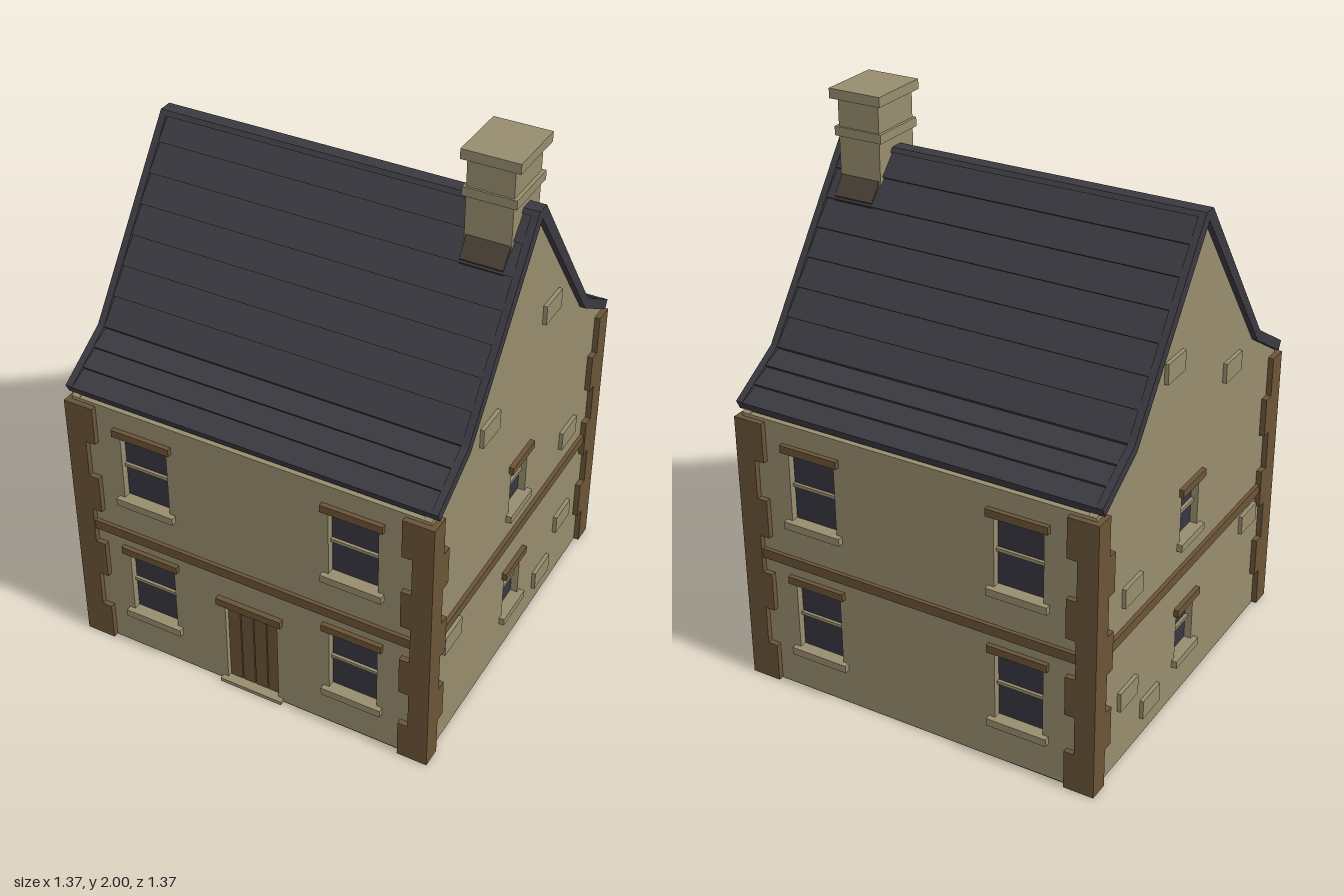
import * as THREE from 'three';

const paint = (name, color) => {
  const m = new THREE.MeshStandardMaterial({ color });
  m.name = name;
  return m;
};

export function createModel() {
  const stone = paint('sandstone', 0x978c6d);
  const timber = paint('brown stone and timber', 0x6a5437);
  const slate = paint('dark slate', 0x393940);
  const glass = paint('window glass', 0x383641);
  const lead = paint('dark flashing', 0x4a3f36);

  const house = new THREE.Group();
  house.name = 'house';

  const add = (parent, name, geo, mat) => {
    const m = new THREE.Mesh(geo, mat);
    m.name = name;
    parent.add(m);
    return m;
  };
  // box given by its limits on each axis
  const box = (parent, name, mat, x0, x1, y0, y1, z0, z1) => {
    const m = add(parent, name, new THREE.BoxGeometry(x1 - x0, y1 - y0, z1 - z0), mat);
    m.position.set((x0 + x1) / 2, (y0 + y1) / 2, (z0 + z1) / 2);
    return m;
  };
  const polygon = (pts) => new THREE.Shape(pts.map(([x, y]) => new THREE.Vector2(x, y)));
  const extrude = (shape, depth) => new THREE.ExtrudeGeometry(shape, { depth, bevelEnabled: false });
  // symmetric (z, y) profile extruded along x between two limits
  const alongX = (name, mat, pts, x0, x1) => {
    const geo = extrude(polygon(pts), x1 - x0);
    geo.rotateY(Math.PI / 2);
    geo.translate(x0, 0, 0);
    return add(house, name, geo, mat);
  };
  const mirrored = (half) => [...half, ...half.slice().reverse().filter(([z]) => z > 0).map(([z, y]) => [-z, y])];

  const IN = 0.635, OUT = 0.665, EDGE = 0.685;

  // solid core and dark underside
  const gable = mirrored([[OUT, 0], [OUT, 1.04], [0.455, 1.175], [0, 1.775]]);
  const core = mirrored([[IN, 0.003], [IN, 1.05], [0.45, 1.165], [0, 1.765]]);
  alongX('wallCore', stone, core, -IN, IN);
  box(house, 'baseSlab', lead, -OUT, OUT, -0.001, 0.003, -OUT, OUT);

  // one wall face, in local coordinates: x across, y up, z outward
  function wall(name, angle, outline, windows, door) {
    const face = new THREE.Group();
    face.name = name;
    face.rotation.y = angle;
    house.add(face);
    const shape = polygon(outline);
    const hole = (x0, x1, y0, y1) => {
      shape.holes.push(new THREE.Path([[x0, y0], [x0, y1], [x1, y1], [x1, y0]].map((p) => new THREE.Vector2(...p))));
    };
    for (const { x, y0, y1, w, over } of windows) {
      hole(x - w, x + w, y0, y1);
      box(face, 'windowPane', glass, x - w, x + w, y0, y1, IN, IN + 0.004);
      const mid = (y0 + y1) / 2;
      box(face, 'windowBar', stone, x - w, x + w, mid - 0.006, mid + 0.006, IN, IN + 0.015);
      box(face, 'windowLintel', timber, x - w - over, x + w + over, y1, y1 + 0.028, IN, 0.682);
      box(face, 'windowSill', stone, x - w - over, x + w + over, y0 - 0.028, y0, IN, EDGE);
    }
    if (door) {
      hole(-0.102, 0.102, 0.012, 0.362);
      box(face, 'doorGap', lead, -0.102, 0.102, 0.012, 0.362, IN, IN + 0.005);
      for (let i = 0; i < 4; i++) {
        const x = -0.102 + i * 0.051;
        box(face, 'doorPlank', timber, x + 0.002, x + 0.049, 0.014, 0.361, IN, IN + 0.014);
      }
      box(face, 'doorLintel', timber, -0.126, 0.126, 0.362, 0.391, IN, EDGE);
      box(face, 'doorStep', stone, -0.122, 0.122, 0, 0.014, IN, EDGE);
    }
    const panel = add(face, name + 'Panel', extrude(shape, OUT - IN), stone);
    panel.position.z = IN;
    box(face, 'beltCourse', timber, -0.62, 0.62, 0.497, 0.533, IN, 0.679);
    return face;
  }

  const longWall = [[-OUT, 0], [OUT, 0], [OUT, 1.04], [-OUT, 1.04]];
  const longWindows = [];
  for (const x of [-0.394, 0.394]) {
    for (const y0 of [0.164, 0.676]) longWindows.push({ x, y0, y1: y0 + 0.263, w: 0.09, over: 0.022 });
  }
  wall('frontWall', 0, longWall, longWindows, true);
  wall('backWall', Math.PI, longWall, longWindows, false);

  // gable walls with a few raised stones: centre z, centre y
  const raised = [[0.278, 1.14], [-0.175, 1.335], [-0.42, 0.648], [0.497, 0.432], [-0.432, 0.251], [-0.262, 0.111]];
  const sideWindows = [0.163, 0.635].map((y0) => ({ x: 0, y0, y1: y0 + 0.182, w: 0.066, over: 0.02 }));
  for (const side of [1, -1]) {
    const face = wall(side > 0 ? 'leftGable' : 'rightGable', side * Math.PI / 2, gable, sideWindows, false);
    for (const [z, y] of raised) {
      const x = -side * z;
      box(face, 'raisedStone', stone, x - 0.062, x + 0.062, y - 0.036, y + 0.036, IN, 0.679);
    }
  }

  // corner quoins, long side alternating between the two faces
  const course = 1.028 / 7;
  for (const sx of [1, -1]) {
    for (const sz of [1, -1]) {
      for (let i = 0; i < 7; i++) {
        const wx = i % 2 ? 0.074 : 0.111, wz = i % 2 ? 0.111 : 0.074;
        const q = add(house, 'cornerQuoin', new THREE.BoxGeometry(wx, course, wz), timber);
        q.position.set(sx * (EDGE - wx / 2), (i + 0.5) * course, sz * (EDGE - wz / 2));
      }
    }
  }

  // roof: outer line from ridge to kink to eave, inner line below it
  const ridge = [0.025, 1.8], kink = [0.467, 1.2], eave = [0.668, 1.078];
  const under = [[0.652, 1.045], [0.45, 1.168], [0, 1.765]];
  const closeRoof = (outer) => [
    ...outer, ...under, ...under.slice(0, 2).reverse().map(([z, y]) => [-z, y]),
    ...outer.slice().reverse().map(([z, y]) => [-z, y]),
  ];
  // stepped slate courses
  const slates = [];
  const addCourses = (a, b, n) => {
    const dz = b[0] - a[0], dy = b[1] - a[1], len = Math.hypot(dz, dy);
    const sink = 0.013;
    for (let i = 0; i < n; i++) {
      const t = i / n, u = (i + 1) / n;
      slates.push([a[0] + dz * t + dy / len * sink, a[1] + dy * t - dz / len * sink]);
      slates.push([a[0] + dz * u, a[1] + dy * u - 0.001]);
    }
  };
  addCourses(ridge, kink, 7);
  addCourses(kink, eave, 3);
  alongX('slateCourses', slate, closeRoof(slates), -0.66, 0.66);
  // smooth verges at both ends and the ridge cap
  const verge = closeRoof([ridge, kink, eave]);
  alongX('leftVerge', slate, verge, 0.66, EDGE);
  alongX('rightVerge', slate, verge, -EDGE, -0.66);
  alongX('ridgeCap', slate, [[0.036, 1.785], [0.025, 1.8], [-0.025, 1.8], [-0.036, 1.785], [0, 1.77]], -0.66, 0.66);

  // chimney on the left end of the ridge
  box(house, 'chimneyStack', stone, 0.47, 0.63, 1.6, 1.97, -0.1, 0.1);
  box(house, 'chimneyBand', stone, 0.459, 0.643, 1.836, 1.868, -0.107, 0.107);
  box(house, 'chimneyCap', stone, 0.453, 0.653, 1.965, 2, -0.116, 0.116);
  for (const s of [1, -1]) {
    const strip = [[0.09, 1.714], [0.146, 1.638], [0.14, 1.6], [0.09, 1.66]].map(([z, y]) => [s * z, y]);
    alongX('chimneyFlashing', lead, strip, 0.477, 0.627);
  }

  return house;
}
